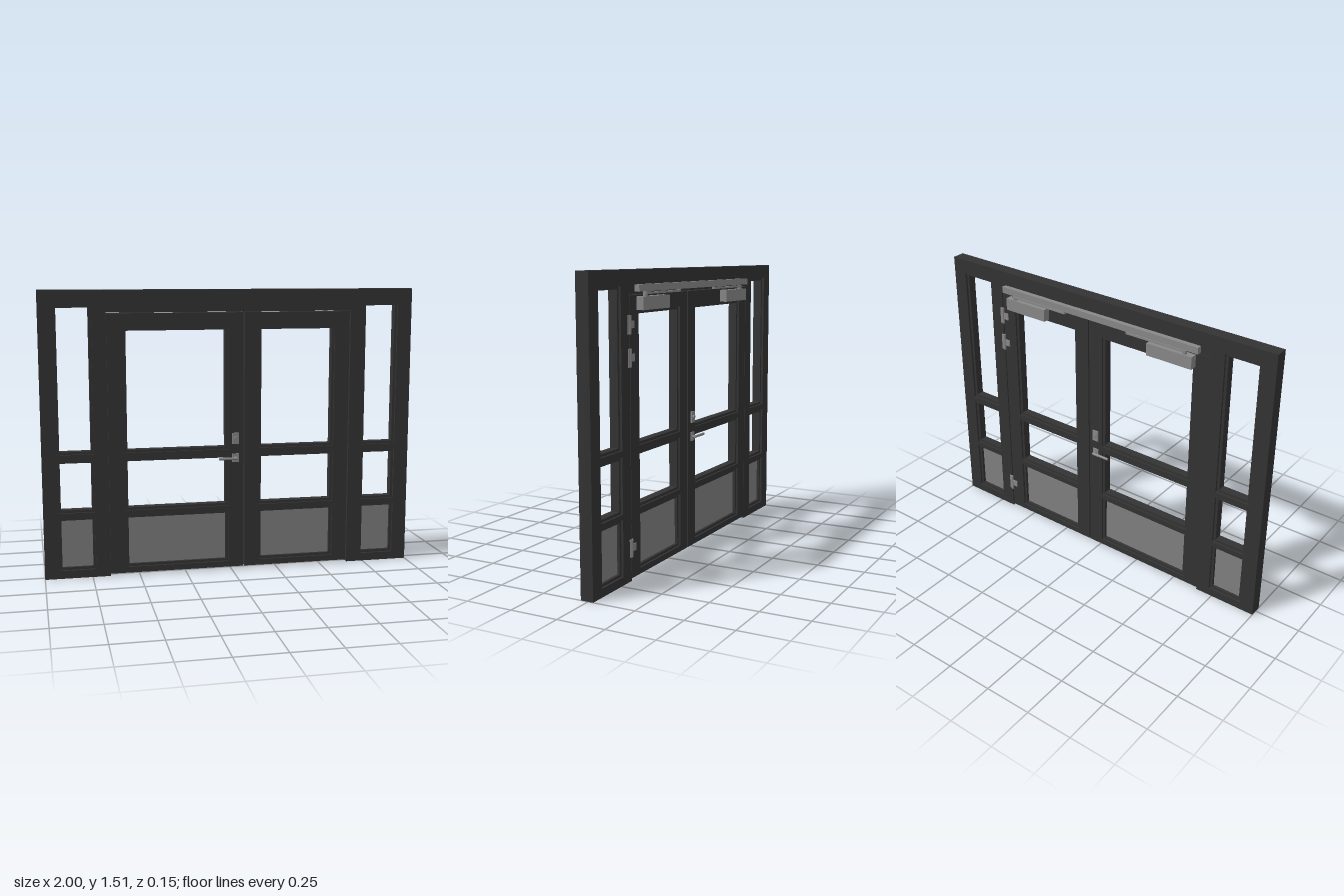
import * as THREE from 'three';

const BACK = -0.032, FRONT = 0.036, MID = 0.002;
const BEAD = 0.014;

const frameMat = new THREE.MeshStandardMaterial({ color: 0x333333 });
frameMat.name = 'anthracite';
const panelMat = new THREE.MeshStandardMaterial({ color: 0x808080 });
panelMat.name = 'panel grey';
const metalMat = new THREE.MeshStandardMaterial({ color: 0x888888 });
metalMat.name = 'metal grey';

// counter-clockwise rectangle points
const corners = (x0, x1, y0, y1) => [[x0, y0], [x1, y0], [x1, y1], [x0, y1]].map(([x, y]) => new THREE.Vector2(x, y));

// flat board cut by rectangular holes, spanning z0..z1
function board(name, outline, holes, z0, z1, mat = frameMat) {
  const shape = new THREE.Shape(outline);
  for (const h of holes) shape.holes.push(new THREE.Path(corners(...h).reverse()));
  const geo = new THREE.ExtrudeGeometry(shape, { depth: z1 - z0, bevelEnabled: false });
  geo.translate(0, 0, z0);
  const mesh = new THREE.Mesh(geo, mat);
  mesh.name = name;
  return mesh;
}

function box(name, x0, x1, y0, y1, z0, z1, mat = metalMat) {
  const mesh = new THREE.Mesh(new THREE.BoxGeometry(x1 - x0, y1 - y0, z1 - z0), mat);
  mesh.position.set((x0 + x1) / 2, (y0 + y1) / 2, (z0 + z1) / 2);
  mesh.name = name;
  return mesh;
}

function rod(name, r, length, axis, x, y, z) {
  const geo = new THREE.CylinderGeometry(r, r, length, 16);
  if (axis === 'x') geo.rotateZ(Math.PI / 2);
  if (axis === 'z') geo.rotateX(Math.PI / 2);
  const mesh = new THREE.Mesh(geo, metalMat);
  mesh.position.set(x, y, z);
  mesh.name = name;
  return mesh;
}

const grow = ([x0, x1, y0, y1], d) => [x0 - d, x1 + d, y0 - d, y1 + d];

// three stacked lights: solid panel below, two open lights above
const lights = (x0, x1, top) => [[x0, x1, 0.057, 0.312], [x0, x1, 0.367, 0.617], [x0, x1, 0.677, top]];

// recessed beads around each light, and the solid infill in the lowest one
function glazing(name, openings) {
  const group = new THREE.Group();
  group.name = name;
  openings.forEach((o, i) => {
    group.add(board('glazingBead', corners(...grow(o, BEAD)), [o], MID - 0.022, MID + 0.022));
    if (i === 0) group.add(box('infillPanel', ...grow(o, 0.004), MID - 0.007, MID + 0.007, panelMat));
  });
  return group;
}

function leaf(name, x0, x1, openings) {
  const group = new THREE.Group();
  group.name = name;
  group.add(board('leafFrame', corners(x0, x1, 0.012, 1.392),
    openings.map(o => grow(o, BEAD)), BACK + 0.001, FRONT - 0.001));
  group.add(glazing('leafGlazing', openings));
  return group;
}

// lever handle with rosettes; side is +1 at the front, -1 at the back
function handle(side) {
  const group = new THREE.Group();
  group.name = side > 0 ? 'frontHandle' : 'backHandle';
  const face = side > 0 ? FRONT : BACK;
  const slab = (name, x0, x1, y0, y1, d) =>
    box(name, x0, x1, y0, y1, Math.min(face, face + side * d), Math.max(face, face + side * d));
  group.add(slab('leverRosette', 0.005, 0.04, 0.593, 0.64, 0.006));
  const reach = side > 0 ? 0.029 : 0.023;
  group.add(rod('leverNeck', 0.007, reach, 'z', 0.022, 0.617, face + side * reach / 2));
  group.add(rod('lever', 0.007, 0.1, 'x', -0.022, 0.617, face + side * reach));
  group.add(slab('lockRosette', 0.005, 0.04, 0.692, 0.752, side > 0 ? 0.005 : 0.009));
  group.add(rod('lockCylinder', 0.009, 0.016, 'z', 0.022, 0.724, face + side * 0.009));
  return group;
}

function hinge(y) {
  const group = new THREE.Group();
  group.name = 'hinge';
  group.add(rod('knuckle', 0.007, 0.09, 'y', 0.653, y, BACK - 0.002));
  group.add(box('frameLeaf', 0.653, 0.672, y - 0.045, y + 0.045, BACK - 0.003, BACK + 0.001));
  group.add(box('doorLeaf', 0.617, 0.653, y - 0.018, y + 0.018, BACK - 0.005, BACK + 0.001));
  return group;
}

// closer body and its arm; s mirrors it across x
function closer(s) {
  const group = new THREE.Group();
  group.name = s > 0 ? 'leftCloser' : 'rightCloser';
  const span = (a, b) => s > 0 ? [a, b] : [-b + 0.015, -a + 0.015];
  group.add(box('closerBody', ...span(0.33, 0.59), 1.32, 1.385, -0.071, BACK));
  group.add(box('closerArm', ...span(0.2, 0.55), 1.394, 1.404, -0.064, -0.046));
  const [pivot] = span(0.54, 0.54), [slider] = span(0.205, 0.205);
  group.add(rod('armPivot', 0.012, 0.022, 'y', pivot, 1.394, -0.054));
  group.add(rod('armSlider', 0.008, 0.02, 'y', slider, 1.405, -0.055));
  return group;
}

export function createModel() {
  const model = new THREE.Group();
  model.name = 'doubleDoorWithSidelights';

  // fixed frame: one outline around the doorway, with sidelight openings
  const sideLeft = lights(0.745, 0.908, 1.422);
  const sideRight = lights(-0.908, -0.745, 1.422);
  const outline = [[-1, 0], [-0.655, 0], [-0.655, 1.396], [0.656, 1.396], [0.656, 0], [1, 0], [1, 1.512], [-1, 1.512]]
    .map(([x, y]) => new THREE.Vector2(x, y));
  model.add(board('fixedFrame', outline, [...sideLeft, ...sideRight].map(o => grow(o, BEAD)), BACK, FRONT));
  model.add(glazing('leftSidelight', sideLeft), glazing('rightSidelight', sideRight));

  // door leaves
  model.add(leaf('wideLeaf', -0.654, 0.066, lights(-0.555, -0.03, 1.302)));
  model.add(leaf('narrowLeaf', 0.073, 0.65, lights(0.166, 0.555, 1.302)));

  // hardware
  model.add(handle(1), handle(-1));
  for (const y of [1.255, 1.097, 0.167]) model.add(hinge(y));
  model.add(box('slideRail', -0.605, 0.62, 1.408, 1.442, -0.066, -0.04));
  for (const x of [-0.45, 0.01, 0.46]) model.add(box('railBracket', x - 0.12, x + 0.12, 1.412, 1.438, -0.041, BACK));
  model.add(closer(1), closer(-1));

  // the whole set stands turned by a hair
  const root = new THREE.Group();
  root.name = 'doorSet';
  model.rotation.y = -0.004;
  root.add(model);
  return root;
}
